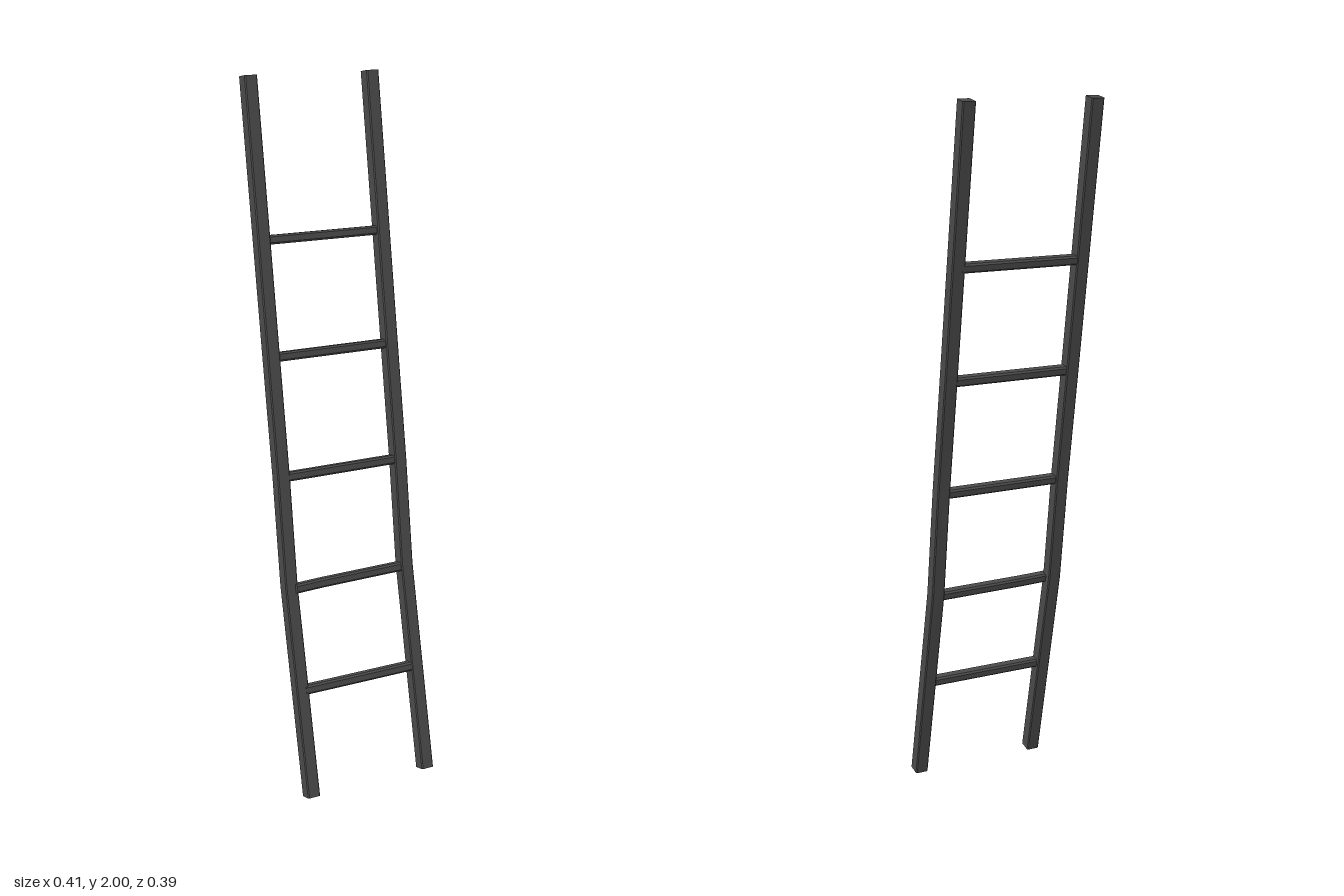
import * as THREE from 'three';
import { toCreasedNormals } from 'three/addons/utils/BufferGeometryUtils.js';

const V = (x, y, z) => new THREE.Vector3(x, y, z);

// Sweeps a chamfered rectangle along a path; w is measured along u, d across it.
function beam(path, u, w, d, c) {
  const a = w / 2, b = d / 2, n = 8;
  const ring = [[a, -b + c], [a, b - c], [a - c, b], [-a + c, b],
    [-a, b - c], [-a, -b + c], [-a + c, -b], [a - c, -b]];
  const pos = [], idx = [];
  path.forEach((p, i) => {
    const next = path[Math.min(i + 1, path.length - 1)];
    const t = next.clone().sub(path[Math.max(i - 1, 0)]).normalize();
    const v = t.clone().cross(u).normalize();
    for (const [s, r] of ring) {
      pos.push(...p.clone().addScaledVector(u, s).addScaledVector(v, r).toArray());
    }
  });
  for (let i = 0; i < path.length - 1; i++) {
    for (let j = 0; j < n; j++) {
      const k = (j + 1) % n, lo = i * n, hi = lo + n;
      idx.push(lo + j, lo + k, hi + k, lo + j, hi + k, hi + j);
    }
  }
  const end = (path.length - 1) * n;
  for (let j = 1; j < n - 1; j++) {
    idx.push(0, j + 1, j, end, end + j, end + j + 1);
  }
  const geo = new THREE.BufferGeometry();
  geo.setAttribute('position', new THREE.Float32BufferAttribute(pos, 3));
  geo.setIndex(idx);
  return toCreasedNormals(geo, 0.5);
}

export function createModel() {
  const group = new THREE.Group();
  const material = new THREE.MeshStandardMaterial({ color: 0x4a4a4a });
  const add = (name, geo) => {
    const mesh = new THREE.Mesh(geo, material);
    mesh.name = name;
    group.add(mesh);
  };

  // Leaning side rails, slightly bowed: [y, z]
  const rail = [[0.004, 0.175], [0.6, 0.043], [0.91, 0], [1.25, -0.056], [1.997, -0.177]];
  for (const [name, x] of [['leftRail', 0.188], ['rightRail', -0.188]]) {
    add(name, beam(rail.map(([y, z]) => V(x, y, z)), V(1, 0, 0), 0.038, 0.039, 0.003));
  }

  // Rungs, a little uneven: [y, z at right end, z near the right, z at left end]
  const rungs = [
    [0.307, 0.114, 0.114, 0.112],
    [0.595, 0.06, 0.053, 0.044],
    [0.909, 0.004, 0.003, 0],
    [1.24, -0.054, -0.055, -0.057],
    [1.558, -0.109, -0.109, -0.111],
  ];
  const up = V(0, 1, -0.16).normalize();
  rungs.forEach(([y, z0, z1, z2], i) => {
    const path = [V(-0.178, y, z0), V(-0.09, y, z1), V(0.178, y, z2)];
    add('rung' + (i + 1), beam(path, up, 0.026, 0.03, 0.005));
  });
  return group;
}
